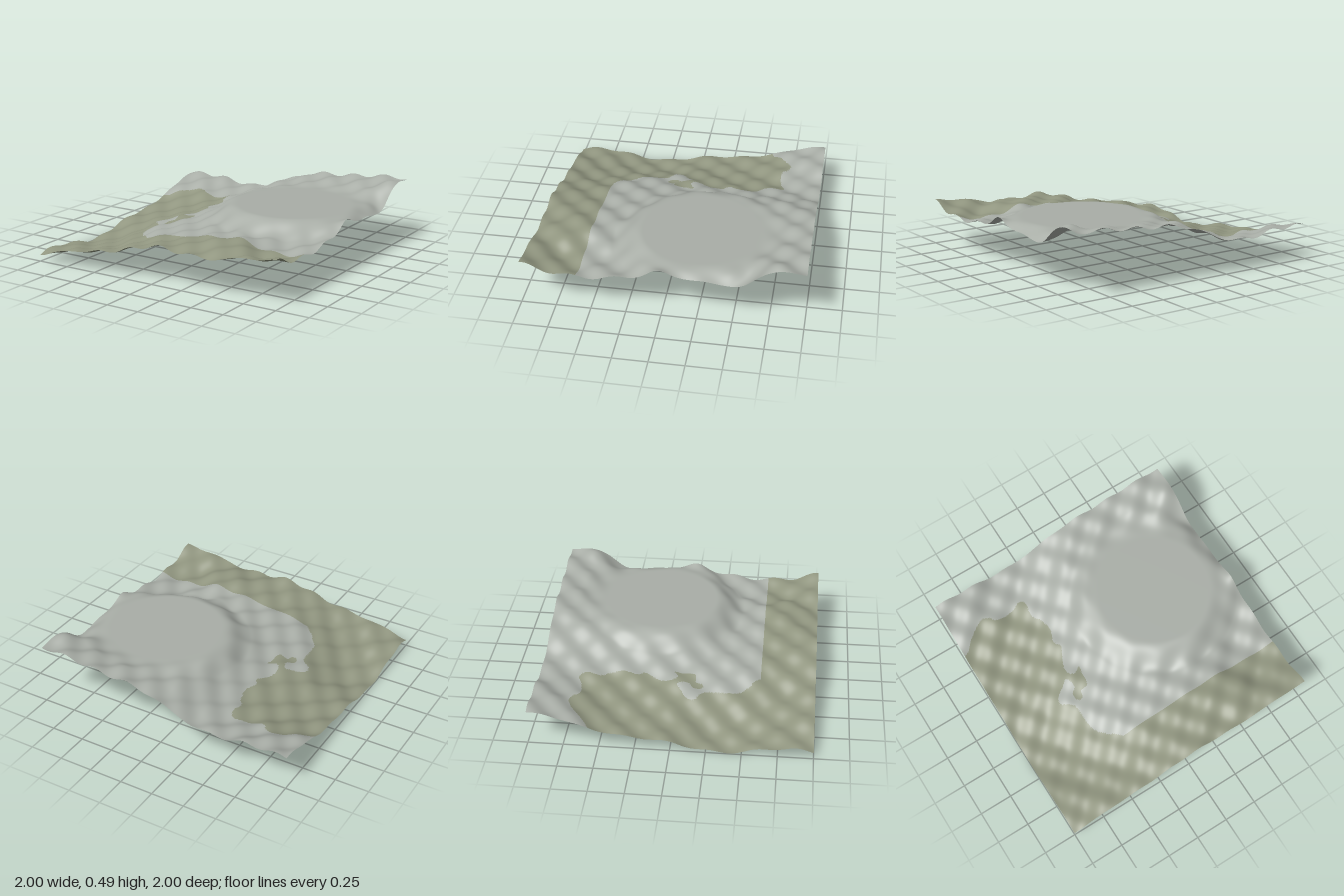
import * as THREE from 'three';

// Broad heights on a 9 x 9 lattice: rows run back to front, columns -x to +x
const HEIGHTS = [
  [.27, .275, .245, .26, .36, .425, .44, .47, .475],
  [.22, .22, .20, .26, .36, .395, .41, .43, .46],
  [.14, .15, .18, .25, .36, .385, .385, .385, .345],
  [.105, .12, .17, .25, .36, .385, .385, .38, .31],
  [.08, .11, .18, .24, .33, .385, .385, .37, .37],
  [.025, .065, .17, .23, .28, .30, .30, .29, .31],
  [.03, .06, .15, .23, .26, .29, .30, .26, .28],
  [.08, .09, .13, .21, .26, .30, .32, .26, .29],
  [.065, .125, .165, .215, .285, .28, .275, .325, .345],
];

// Local hollow and shoulder at the plateau's outer side: x, z, rise, radius
const BUMPS = [[1, -.58, -.045, .1], [.96, -.8, .015, .1], [1, .02, .015, .07]];

// Winding border between grass and rock, from the left edge to the front strip
const BORDER = [
  [-1, -.57], [-.95, -.6], [-.9, -.65], [-.77, -.74], [-.7, -.73], [-.64, -.68], [-.5, -.695],
  [-.44, -.72], [-.4, -.68], [-.41, -.57], [-.37, -.51], [-.35, -.4], [-.38, -.3], [-.35, -.24],
  [-.41, -.11], [-.42, -.04], [-.38, 0], [-.32, -.03], [-.33, .03], [-.34, .12], [-.4, .13],
  [-.42, .18], [-.46, .18], [-.47, .12], [-.43, .08], [-.45, 0], [-.5, .03], [-.57, .08],
  [-.58, .14], [-.5, .21], [-.49, .4], [-.42, .51], [-.32, .6],
];

const PLATEAU = { x: .45, z: -.2, y: .385, inner: .42, outer: .64 };

function cubic(a, b, c, d, t) {
  return b + .5 * t * (c - a + t * (2 * a - 5 * b + 4 * c - d + t * (3 * (b - c) + d - a)));
}

function sample(list, u) {
  const i = Math.min(Math.floor(u), list.length - 2);
  const at = (k) => list[THREE.MathUtils.clamp(k, 0, list.length - 1)];
  return cubic(at(i - 1), at(i), at(i + 1), at(i + 2), u - i);
}

function height(x, z) {
  let base = sample(HEIGHTS.map((row) => sample(row, (x + 1) * 4)), (z + 1) * 4);
  for (const [bx, bz, rise, r] of BUMPS) {
    base += rise * Math.exp(-((x - bx) ** 2 + (z - bz) ** 2) / (r * r));
  }
  // Two crossing sets of diagonal ripples
  const ripple = .01 * Math.cos(21.5 * (x + .93) + 20.5 * (z + 1)) + .006 * Math.sin(26 * x - 19 * z);
  // Level round plateau that eases into the slopes
  const d = Math.hypot(x - PLATEAU.x, z - PLATEAU.z);
  const blend = THREE.MathUtils.smoothstep(d, PLATEAU.inner, PLATEAU.outer);
  return Math.max(0, THREE.MathUtils.lerp(PLATEAU.y, base + ripple, blend));
}

function makeGrassTest() {
  const curve = new THREE.SplineCurve(BORDER.map(([x, z]) => new THREE.Vector2(x, z)));
  const poly = [...curve.getPoints(160), new THREE.Vector2(-1.1, .6), new THREE.Vector2(-1.1, -.57)];
  return (x, z) => {
    if (z > .6) return true;
    let inside = false;
    for (let i = 0, j = poly.length - 1; i < poly.length; j = i++) {
      const a = poly[i], b = poly[j];
      if ((a.y > z) !== (b.y > z) && x < a.x + (z - a.y) * (b.x - a.x) / (b.y - a.y)) inside = !inside;
    }
    return inside;
  };
}

export function createModel() {
  const grass = new THREE.MeshStandardMaterial({ color: 0x919680, side: THREE.DoubleSide });
  grass.name = 'olive grass';
  const rock = new THREE.MeshStandardMaterial({ color: 0xa9aea7, side: THREE.DoubleSide });
  rock.name = 'grey rock';

  // Fine sheet lifted by the height rule
  const sheet = new THREE.PlaneGeometry(2, 2, 200, 200).rotateX(-Math.PI / 2);
  const pos = sheet.attributes.position;
  for (let i = 0; i < pos.count; i++) pos.setY(i, height(pos.getX(i), pos.getZ(i)));
  sheet.computeVertexNormals();

  // Sort the triangles into grass and rock; both keep the shared smooth normals
  const isGrass = makeGrassTest();
  const faces = { grass: [], rock: [] };
  const index = sheet.index.array;
  for (let i = 0; i < index.length; i += 3) {
    const tri = [index[i], index[i + 1], index[i + 2]];
    const x = tri.reduce((s, v) => s + pos.getX(v), 0) / 3;
    const z = tri.reduce((s, v) => s + pos.getZ(v), 0) / 3;
    faces[isGrass(x, z) ? 'grass' : 'rock'].push(...tri);
  }

  const model = new THREE.Group();
  model.name = 'terrain';
  for (const [name, material] of [['grass', grass], ['rock', rock]]) {
    const geometry = sheet.clone();
    geometry.setIndex(faces[name]);
    const mesh = new THREE.Mesh(geometry, material);
    mesh.name = name + 'Ground';
    model.add(mesh);
  }
  return model;
}
